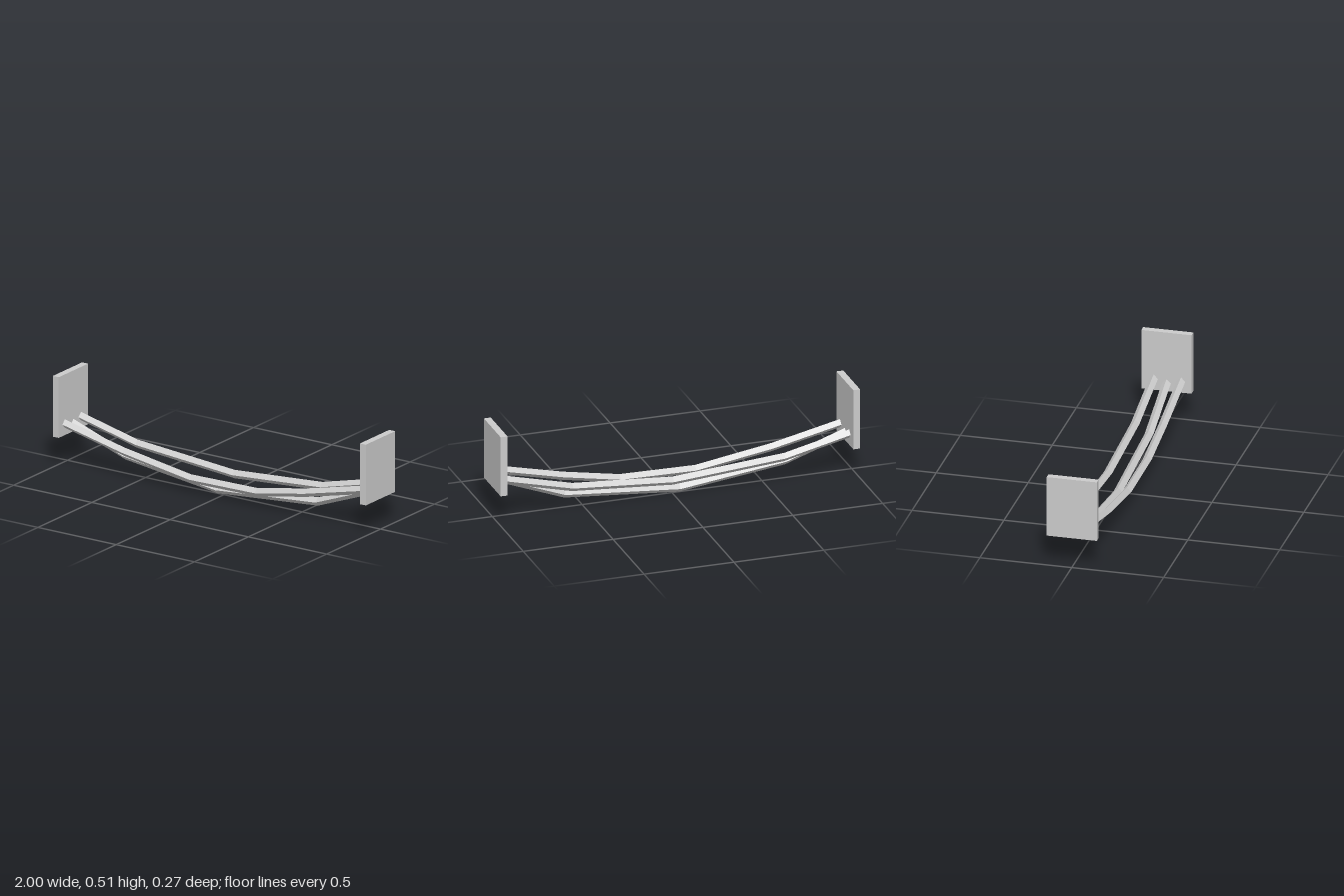
import * as THREE from 'three';

const RADIUS = 0.0235;

// Square bar standing on its edge, bent along the points [x, y] at depth z
function bentBar(points, z, material) {
  const n = points.length - 1;
  const geometry = new THREE.CylinderGeometry(RADIUS, RADIUS, 1, 4, n).rotateZ(-Math.PI / 2);
  const pos = geometry.attributes.position;
  for (let i = 0; i < pos.count; i++) {
    const [x, y] = points[Math.round((pos.getX(i) + 0.5) * n)];
    pos.setXYZ(i, x, pos.getY(i) + y, pos.getZ(i) + z);
  }
  geometry.computeVertexNormals();
  return new THREE.Mesh(geometry, material);
}

export function createModel() {
  const group = new THREE.Group();
  const material = new THREE.MeshStandardMaterial({ color: 0xcccccc, flatShading: true });

  // Upright end plates
  for (const side of [-1, 1]) {
    const plate = new THREE.Mesh(new THREE.BoxGeometry(0.038, 0.337, 0.273), material);
    plate.name = side > 0 ? 'leftEndPlate' : 'rightEndPlate';
    plate.position.set(side * 0.981, 0.3385, 0);
    group.add(plate);
  }

  // Three sagging cables, each with its own bends
  const cables = {
    frontCable: [0.079, [[-0.965, 0.235], [-0.58, 0.15], [-0.155, 0.083], [0.265, 0.088], [0.58, 0.145], [0.965, 0.235]]],
    middleCable: [0, [[-0.965, 0.216], [-0.63, 0.1], [-0.04, 0.0245], [0.6, 0.078], [0.965, 0.216]]],
    backCable: [-0.07, [[-0.965, 0.235], [-0.6, 0.15], [0.02, 0.1], [0.58, 0.14], [0.965, 0.235]]],
  };
  for (const [name, [z, points]] of Object.entries(cables)) {
    const cable = bentBar(points, z, material);
    cable.name = name;
    group.add(cable);
  }
  return group;
}
